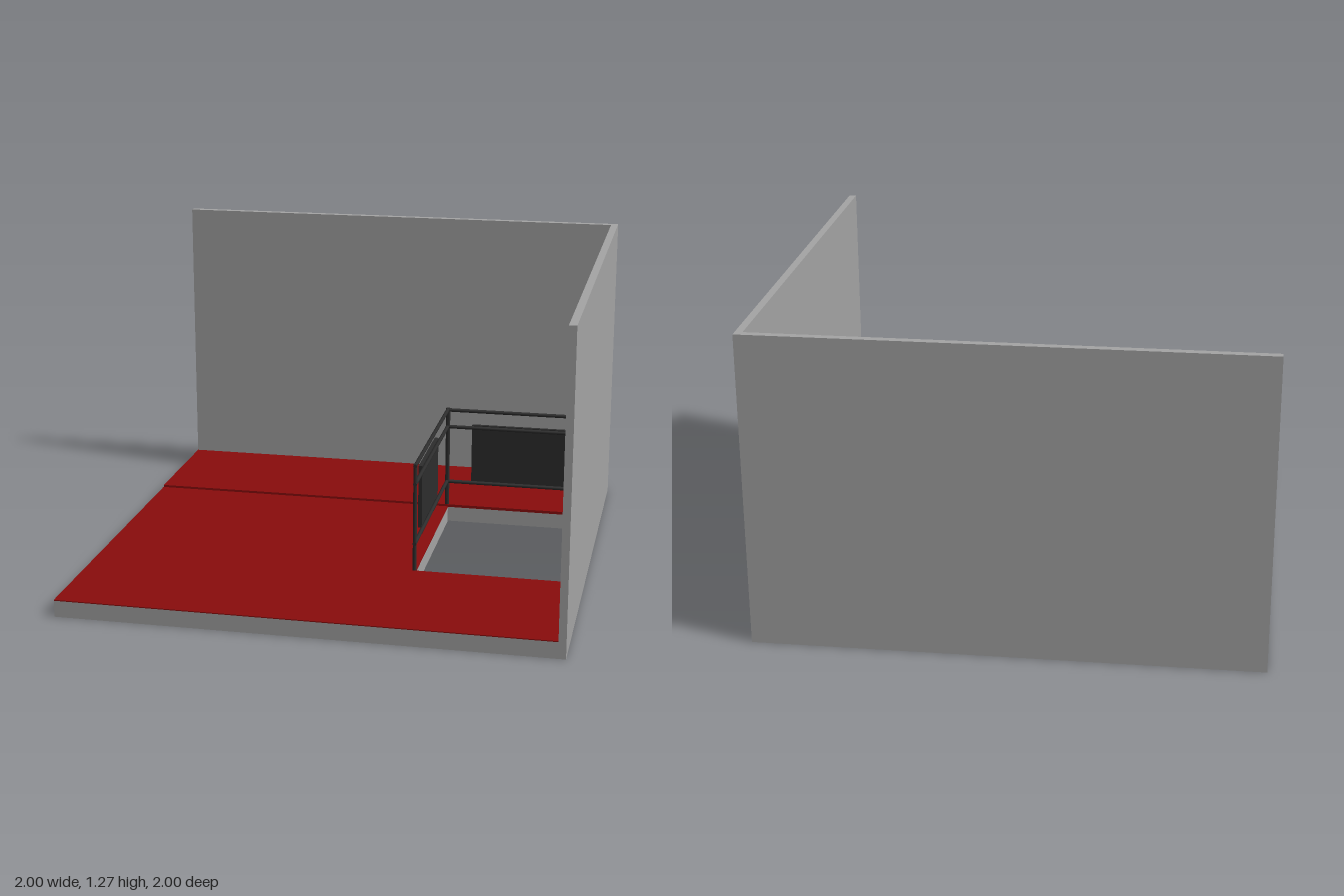
import * as THREE from 'three';

const wallGrey = new THREE.MeshStandardMaterial({ name: 'wallGrey', color: 0xa5a5a5 });
const carpetRed = new THREE.MeshStandardMaterial({ name: 'carpetRed', color: 0x8a0c0c });
const railBlack = new THREE.MeshStandardMaterial({ name: 'railBlack', color: 0x2d2d2d });

function add(parent, name, geometry, material) {
  const mesh = new THREE.Mesh(geometry, material);
  mesh.name = name;
  parent.add(mesh);
  return mesh;
}

// Box given by its minimum and maximum corners
function block(parent, name, min, max, material) {
  const size = max.map((v, i) => v - min[i]);
  const mesh = add(parent, name, new THREE.BoxGeometry(...size), material);
  mesh.position.set(...max.map((v, i) => (v + min[i]) / 2));
  return mesh;
}

// Floor plate around the stair opening, between two heights
function floorPlate(parent, name, bottom, top, material) {
  const outline = [[-1, 1], [-1, -0.41], [0.33, -0.41], [0.33, 0.4], [0.97, 0.4], [0.97, 1]];
  const shape = new THREE.Shape(outline.map(([x, z]) => new THREE.Vector2(x, z)));
  const geometry = new THREE.ExtrudeGeometry(shape, { depth: top - bottom, bevelEnabled: false });
  geometry.rotateX(Math.PI / 2);
  add(parent, name, geometry, material).position.y = top;
}

// Railing running along local +x: two posts, three rails and a panel on the -z side
function railing(name, length, panelStart, panelEnd) {
  const group = new THREE.Group();
  group.name = name;
  const r = 0.008;
  for (const x of [0, length]) {
    add(group, 'post', new THREE.CylinderGeometry(r, r, 0.455, 12), railBlack).position.set(x, 0.2975, 0);
  }
  for (const y of [0.517, 0.44, 0.185]) {
    const rail = add(group, 'rail', new THREE.CylinderGeometry(r, r, length + 2 * r, 12), railBlack);
    rail.rotation.z = Math.PI / 2;
    rail.position.set(length / 2, y, 0);
  }
  block(group, 'panel', [panelStart, 0.18, -0.023], [panelEnd, 0.45, -0.007], railBlack);
  return group;
}

export function createModel() {
  const model = new THREE.Group();
  model.name = 'roomCorner';

  // Walls
  block(model, 'backWall', [-1, 0, -1], [1, 1.27, -0.97], wallGrey);
  block(model, 'leftWall', [0.97, 0, -0.97], [1, 1.27, 1], wallGrey);

  // Floor in two slabs, each with its carpet
  floorPlate(model, 'frontSlab', 0, 0.067, wallGrey);
  floorPlate(model, 'frontCarpet', 0.067, 0.071, carpetRed);
  block(model, 'backSlab', [-1, 0, -0.97], [0.95, 0.067, -0.42], wallGrey);
  block(model, 'backCarpet', [-1, 0.067, -0.97], [0.95, 0.079, -0.415], carpetRed);

  // Railings along the back and the side of the opening
  const backRailing = railing('backRailing', 0.633, 0.105, 0.535);
  backRailing.position.set(0.325, 0, -0.425);
  const sideRailing = railing('sideRailing', 0.82, 0.205, 0.61);
  sideRailing.rotation.y = Math.PI / 2; // runs towards -z, panel faces -x
  sideRailing.position.set(0.322, 0, 0.395);
  model.add(backRailing, sideRailing);

  return model;
}
